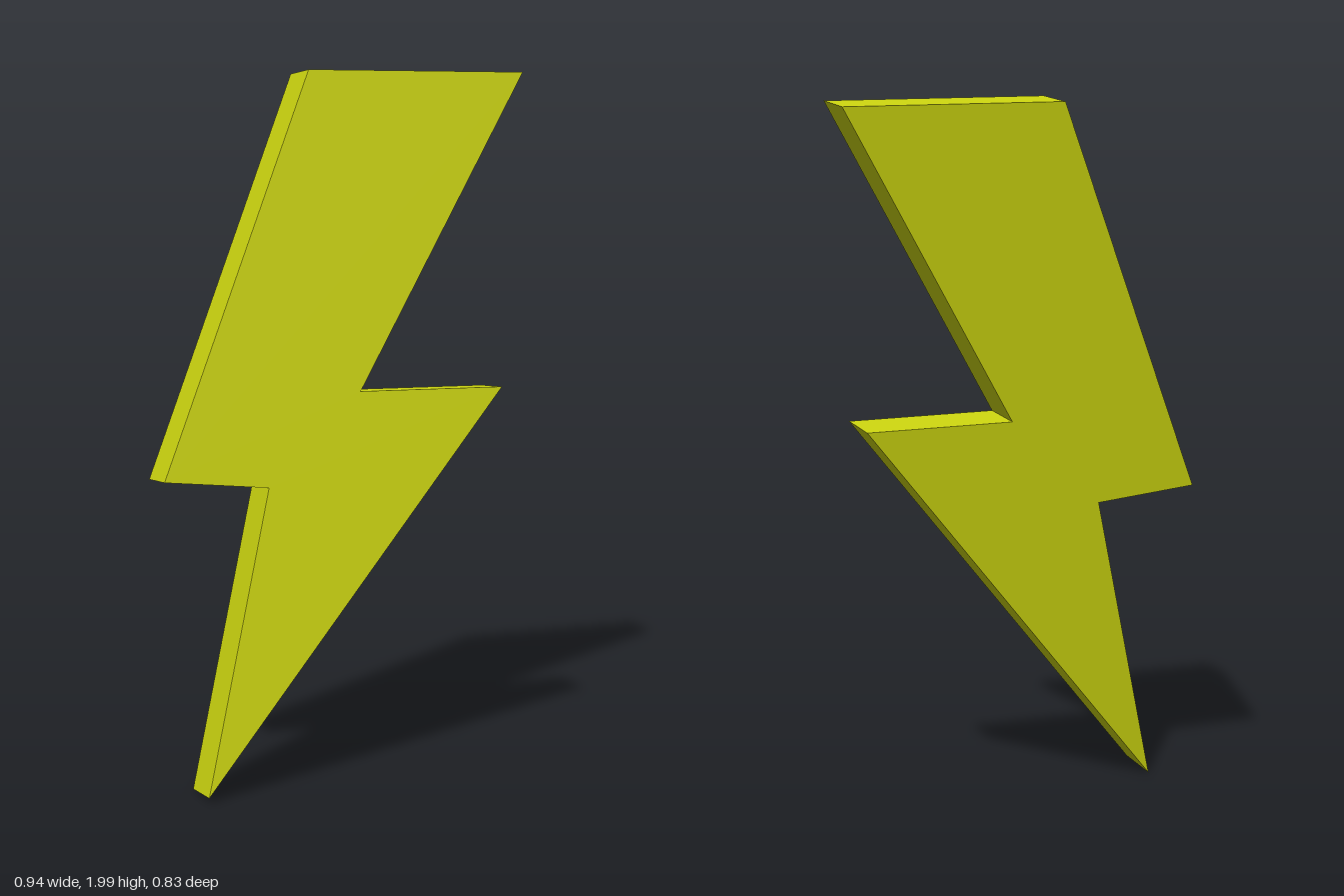
import * as THREE from 'three';

export function createModel() {
  const model = new THREE.Group();
  model.name = 'lightningBolt';

  const yellow = new THREE.MeshStandardMaterial({ color: 0xcdd610 });
  yellow.name = 'acid yellow';

  // Zigzag outline, clockwise from the top corner
  const outline = [
    [-0.09, 1.99], [0.556, 1.98], [0.032, 1.098], [0.463, 1.091],
    [-0.452, 0.001], [-0.247, 0.845], [-0.546, 0.877],
  ].map(([x, y]) => new THREE.Vector2(x, y));

  // Flat slab with sharp edges
  const geometry = new THREE.ExtrudeGeometry(new THREE.Shape(outline), {
    depth: 0.148,
    bevelEnabled: false,
  });
  geometry.translate(0, 0, 0.0535);

  // Bolt turned to its left and leaning slightly back
  const bolt = new THREE.Mesh(geometry, yellow);
  bolt.name = 'bolt';
  bolt.rotation.set(-0.0943, 0.582, 0, 'YXZ');
  model.add(bolt);

  return model;
}
